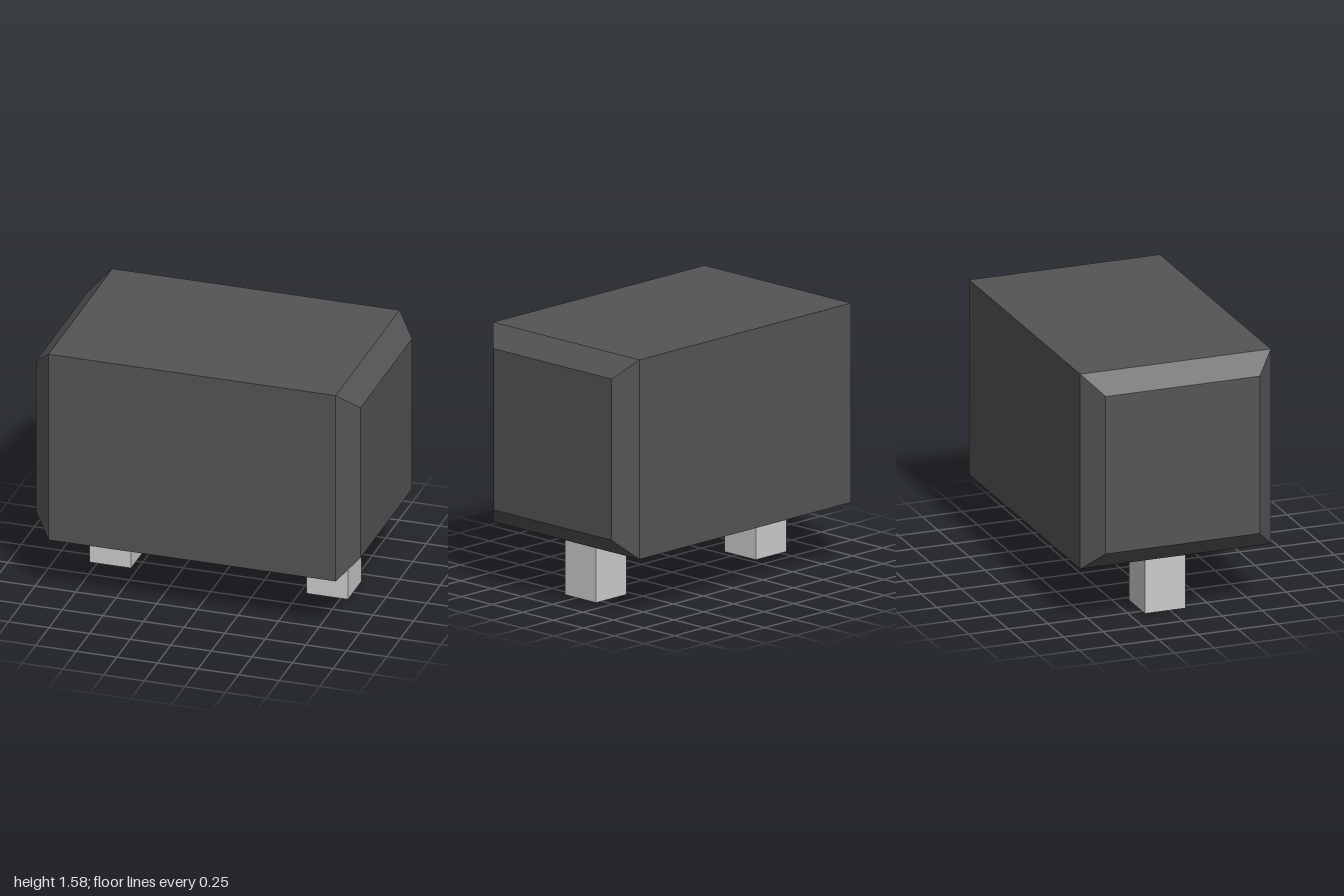
import * as THREE from 'three';

const bodyMaterial = new THREE.MeshStandardMaterial({ color: 0x545454, flatShading: true });
const legMaterial = new THREE.MeshStandardMaterial({ color: 0xcccccc, flatShading: true });

// Square block with chamfered ends: a four-sided lathe laid along x
function createBody() {
  const half = 0.6, endHalf = 0.485, shoulder = 0.885;
  const profile = [[0, -1], [endHalf, -1], [half, -shoulder], [half, shoulder], [endHalf, 1], [0, 1]]
    .map(([r, y]) => new THREE.Vector2(r * Math.SQRT2, y));
  const geometry = new THREE.LatheGeometry(profile, 4, Math.PI / 4).toNonIndexed();
  geometry.rotateZ(Math.PI / 2);
  geometry.scale(1, 0.605 / half, 1);
  geometry.computeVertexNormals();
  const body = new THREE.Mesh(geometry, bodyMaterial);
  body.name = 'body';
  body.position.y = 0.97;
  return body;
}

// Square leg, set slightly behind the middle
function createLeg(side, name) {
  const leg = new THREE.Mesh(new THREE.BoxGeometry(0.255, 0.37, 0.255), legMaterial);
  leg.name = name;
  leg.position.set(side * 0.668, 0.185, -0.03);
  return leg;
}

export function createModel() {
  const model = new THREE.Group();
  model.name = 'blockOnLegs';
  model.add(createBody(), createLeg(1, 'leftLeg'), createLeg(-1, 'rightLeg'));
  return model;
}
